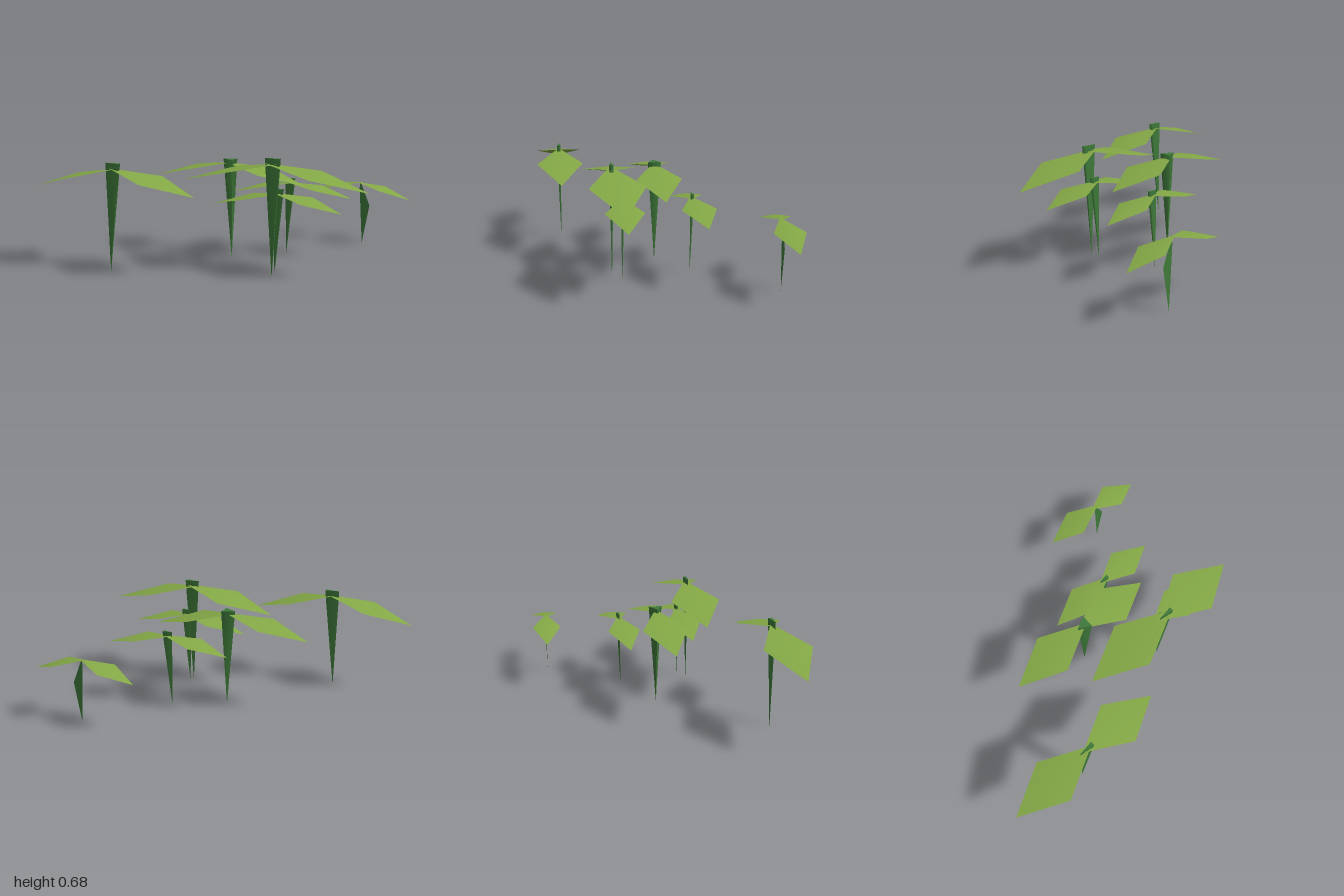
import * as THREE from 'three';

const leafMat = new THREE.MeshStandardMaterial({ color: 0x84a846, side: THREE.DoubleSide });
leafMat.name = 'leaf green';
const stemMat = new THREE.MeshStandardMaterial({ color: 0x3f7a3a, side: THREE.DoubleSide });
stemMat.name = 'stem green';

// base / top: stem axis ends; w, d: stem width and depth at its top
// y: leaf root height; tips: [x, y, z] of each leaf tip; half: leaf half width
// roots: x of each leaf root, which overlap the stem a little
const sprouts = [
  { base: [-0.52, 0.57], top: [-0.475, 0.64, 0.57], w: 0.09, d: 0.025, y: 0.61, half: 0.142,
    roots: [-0.44, -0.5], tips: [[-1, 0.47, 0.575], [0.04, 0.48, 0.56]] },
  { base: [0.005, 0], top: [0, 0.61, 0], w: 0.075, d: 0.08, y: 0.592, half: 0.134,
    roots: [0.03, -0.03], tips: [[-0.505, 0.475, 0.005], [0.49, 0.475, -0.01]] },
  { base: [0.38, 0.29], top: [0.39, 0.683, 0.287], w: 0.09, d: 0.025, y: 0.655, half: 0.155,
    roots: [0.44, 0.33], tips: [[-0.17, 0.52, 0.275], [0.94, 0.52, 0.25]] },
  { base: [0.38, 0.23], top: [0.405, 0.5, 0.227], w: 0.06, d: 0.022, y: 0.475, half: 0.11,
    roots: [0.44, 0.37], tips: [[0, 0.38, 0.235], [0.78, 0.385, 0.225]] },
  { base: [0.305, -0.175], top: [0.333, 0.485, -0.178], w: 0.06, d: 0.022, y: 0.46, half: 0.1,
    roots: [0.37, 0.3], tips: [[-0.06, 0.37, -0.17], [0.72, 0.38, -0.21]] },
  { y: 0.408, half: 0.09, zRoot: -0.62,
    roots: [0.68, 0.63], tips: [[0.31, 0.315, -0.645], [0.99, 0.31, -0.63]] },
];

// Diamond leaf: a four-sided domed sheet around a raised centre
function makeLeaf(root, tip, half) {
  const r = new THREE.Vector3(...root), t = new THREE.Vector3(...tip);
  const mid = r.clone().lerp(t, 0.5);
  const along = t.clone().sub(r);
  const side = new THREE.Vector3(-along.z, 0, along.x).normalize().multiplyScalar(half);
  const centre = mid.clone().add(new THREE.Vector3(0, 0.027, 0));
  mid.y += 0.014;
  const points = [centre, r, mid.clone().add(side), t, mid.clone().sub(side)];
  const geo = new THREE.BufferGeometry().setFromPoints(points);
  const index = [];
  for (let i = 0; i < 4; i++) {
    const a = 1 + i, b = 1 + (i + 1) % 4;
    // keep the front of every face upwards
    if (tip[0] > root[0]) index.push(0, b, a);
    else index.push(0, b, a);
  }
  geo.setIndex(index);
  geo.computeVertexNormals();
  return new THREE.Mesh(geo, leafMat);
}

// Three-sided stem tapering down to a point, leaning from base to top
function makeStem({ base, top, w, d }) {
  const geo = new THREE.CylinderGeometry(1, 0.02, 1, 3);
  geo.rotateY(-Math.PI / 2);
  geo.translate(0.25, 0.5, 0);
  geo.scale(w / 1.5, top[1], d / 1.732);
  const p = geo.attributes.position;
  for (let i = 0; i < p.count; i++) {
    const k = p.getY(i) / top[1];
    p.setX(i, p.getX(i) + THREE.MathUtils.lerp(base[0], top[0], k));
    p.setZ(i, p.getZ(i) + THREE.MathUtils.lerp(base[1], top[2], k));
  }
  geo.computeVertexNormals();
  return new THREE.Mesh(geo, stemMat);
}

// Flat bent stem of the smallest sprout
function makeFlatStem() {
  const shape = new THREE.Shape([[0.685, 0], [0.727, 0.255], [0.662, 0.41], [0.658, 0.37]]
    .map(([x, y]) => new THREE.Vector2(x, y)));
  const mesh = new THREE.Mesh(new THREE.ShapeGeometry(shape), stemMat);
  mesh.position.z = -0.625;
  return mesh;
}

export function createModel() {
  const model = new THREE.Group();
  model.name = 'sprouts';
  sprouts.forEach((s, n) => {
    const sprout = new THREE.Group();
    sprout.name = `sprout${n + 1}`;
    const stem = s.top ? makeStem(s) : makeFlatStem();
    stem.name = 'stem';
    sprout.add(stem);
    s.tips.forEach((tip, i) => {
      const z = s.top ? s.top[2] : s.zRoot;
      const leaf = makeLeaf([s.roots[i], s.y, z], tip, s.half);
      leaf.name = i ? 'leftLeaf' : 'rightLeaf';
      sprout.add(leaf);
    });
    model.add(sprout);
  });
  return model;
}
